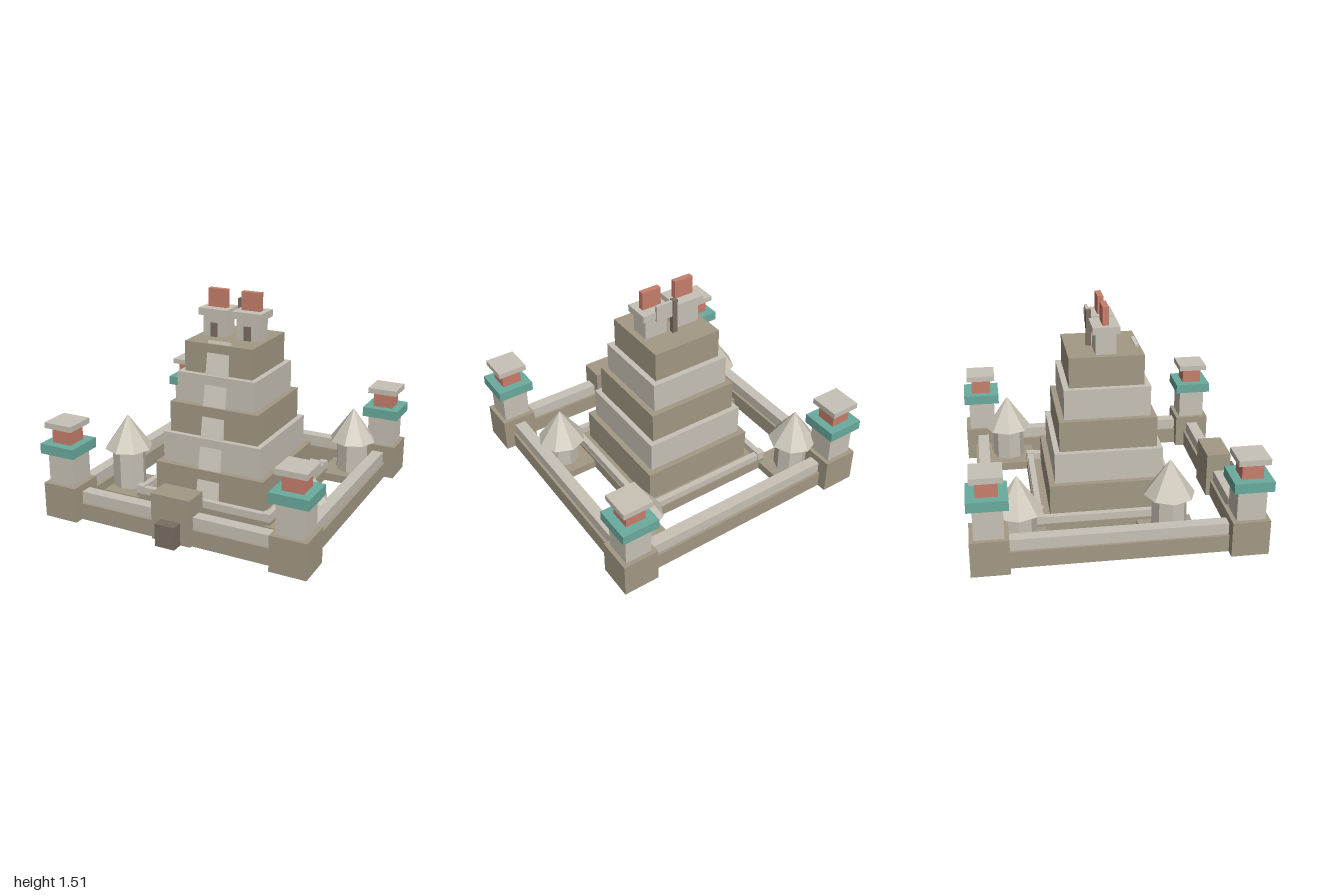
import * as THREE from 'three';

const mat = (name, color) => {
  const m = new THREE.MeshStandardMaterial({ color });
  m.name = name;
  return m;
};

export function createModel() {
  const stone = mat('brown stone', 0xa39985);
  const plaster = mat('light plaster', 0xc8c2b6);
  const stairStone = mat('pale stair stone', 0xd2ccc0);
  const teal = mat('teal trim', 0x6aab9e);
  const coral = mat('coral paint', 0xc87f6c);
  const dark = mat('dark wood', 0x7a6e62);
  const thatch = mat('pale thatch', 0xcbc6b8);
  thatch.flatShading = true;
  const hutWall = mat('hut wall', 0xc5c0b4);
  hutWall.flatShading = true;

  const model = new THREE.Group();
  model.name = 'templeCompound';
  const CZ = -0.015; // centre of the compound in z

  const group = (name, x = 0, y = 0, z = 0) => {
    const g = new THREE.Group();
    g.name = name;
    g.position.set(x, y, z);
    model.add(g);
    return g;
  };
  // box standing on y0 and reaching y1
  const box = (parent, name, m, w, d, y0, y1, x = 0, z = 0) => {
    const b = new THREE.Mesh(new THREE.BoxGeometry(w, y1 - y0, d), m);
    b.name = name;
    b.position.set(x, (y0 + y1) / 2, z);
    parent.add(b);
    return b;
  };

  // corner towers
  for (const sx of [-1, 1]) for (const sz of [-1, 1]) {
    const t = group('cornerTower', sx * 0.854, 0, CZ + sz * 0.852);
    box(t, 'towerBase', stone, 0.255, 0.255, 0, 0.25);
    box(t, 'towerShaft', plaster, 0.195, 0.195, 0.25, 0.47);
    box(t, 'towerCollar', teal, 0.268, 0.268, 0.47, 0.54);
    box(t, 'towerNeck', coral, 0.145, 0.145, 0.54, 0.65);
    box(t, 'towerCap', plaster, 0.215, 0.215, 0.65, 0.69);
  }

  // outer walls: a wide footing with a narrower coping
  const walls = group('outerWalls', 0, 0, CZ);
  for (const s of [-1, 1]) {
    box(walls, 'sideWallFooting', stone, 0.122, 1.6, 0, 0.12, s * 0.852, 0);
    box(walls, 'sideWallCoping', plaster, 0.083, 1.6, 0.12, 0.2, s * 0.852, 0);
    box(walls, 'crossWallFooting', stone, 1.6, 0.122, 0, 0.12, 0, s * 0.852);
    box(walls, 'crossWallCoping', plaster, 1.6, 0.083, 0.12, 0.2, 0, s * 0.852);
  }

  // gatehouse
  const gate = group('gatehouse');
  box(gate, 'gateBlock', stone, 0.29, 0.175, 0, 0.33, 0, 0.833);
  box(gate, 'gateDoor', dark, 0.145, 0.1, 0, 0.16, 0, 0.95);

  // platform with a low fence
  const platform = group('platform', 0, 0, CZ);
  box(platform, 'platformBase', stone, 1.05, 1.05, 0, 0.08);
  for (const s of [-1, 1]) {
    box(platform, 'fenceRail', plaster, 0.95, 0.042, 0.08, 0.13, 0, s * 0.497);
    box(platform, 'fenceRail', plaster, 0.042, 0.95, 0.08, 0.13, s * 0.497, 0);
    for (const q of [-1, 1])
      box(platform, 'fencePost', plaster, 0.055, 0.055, 0.08, 0.14, s * 0.497, q * 0.497);
  }

  // stepped pyramid
  const pyramid = group('pyramid', 0, 0, CZ);
  const levels = [0.08, 0.31, 0.53, 0.75, 0.965, 1.18];
  [0.42, 0.378, 0.34, 0.3, 0.26].forEach((h, i) =>
    box(pyramid, 'tier', i % 2 ? plaster : stone, 2 * h, 2 * h, levels[i], levels[i + 1]));

  // sloping stairway slab, its side outline extruded across the width
  const side = new THREE.Shape([[0.23, 1.2], [0.43, 0.1], [0.405, 0.1], [0.205, 1.195]]
    .map(([z, y]) => new THREE.Vector2(-z, y)));
  const stairGeo = new THREE.ExtrudeGeometry(side, { depth: 0.17, bevelEnabled: false });
  stairGeo.translate(0, 0, -0.085).rotateY(Math.PI / 2);
  const stairway = new THREE.Mesh(stairGeo, stairStone);
  stairway.name = 'stairway';
  model.add(stairway);

  // twin shrines on the summit
  for (const s of [-1, 1]) {
    const shrine = group('shrine', s * 0.13, 0, CZ);
    box(shrine, 'shrineBody', plaster, 0.17, 0.145, 1.18, 1.33);
    box(shrine, 'shrineRoof', plaster, 0.225, 0.188, 1.33, 1.38);
    box(shrine, 'roofComb', coral, 0.145, 0.042, 1.38, 1.51);
    box(shrine, 'shrineDoor', dark, 0.05, 0.016, 1.18, 1.28, 0, 0.0745);
  }

  // banner behind the shrines
  const banner = group('banner', 0, 0, -0.108);
  box(banner, 'bannerPole', dark, 0.036, 0.036, 1.18, 1.435);
  box(banner, 'bannerCloth', plaster, 0.13, 0.022, 1.31, 1.43, 0.08);

  // round huts on square pads: x, z, eave height
  for (const [x, z, eave] of [
    [-0.69, 0.345, 0.35], [0.69, 0.345, 0.24],
    [-0.67, -0.67, 0.295], [0.67, -0.67, 0.295],
  ]) {
    const hut = group('hut', x, 0, z);
    box(hut, 'hutPad', stone, 0.38, 0.38, 0, 0.06);
    const body = new THREE.Mesh(new THREE.CylinderGeometry(0.12, 0.12, eave - 0.06, 8), hutWall);
    body.name = 'hutBody';
    body.position.y = (eave + 0.06) / 2;
    const roof = new THREE.Mesh(new THREE.ConeGeometry(0.174, 0.248, 8), thatch);
    roof.name = 'hutRoof';
    roof.position.y = eave + 0.124;
    hut.add(body, roof);
  }

  return model;
}
